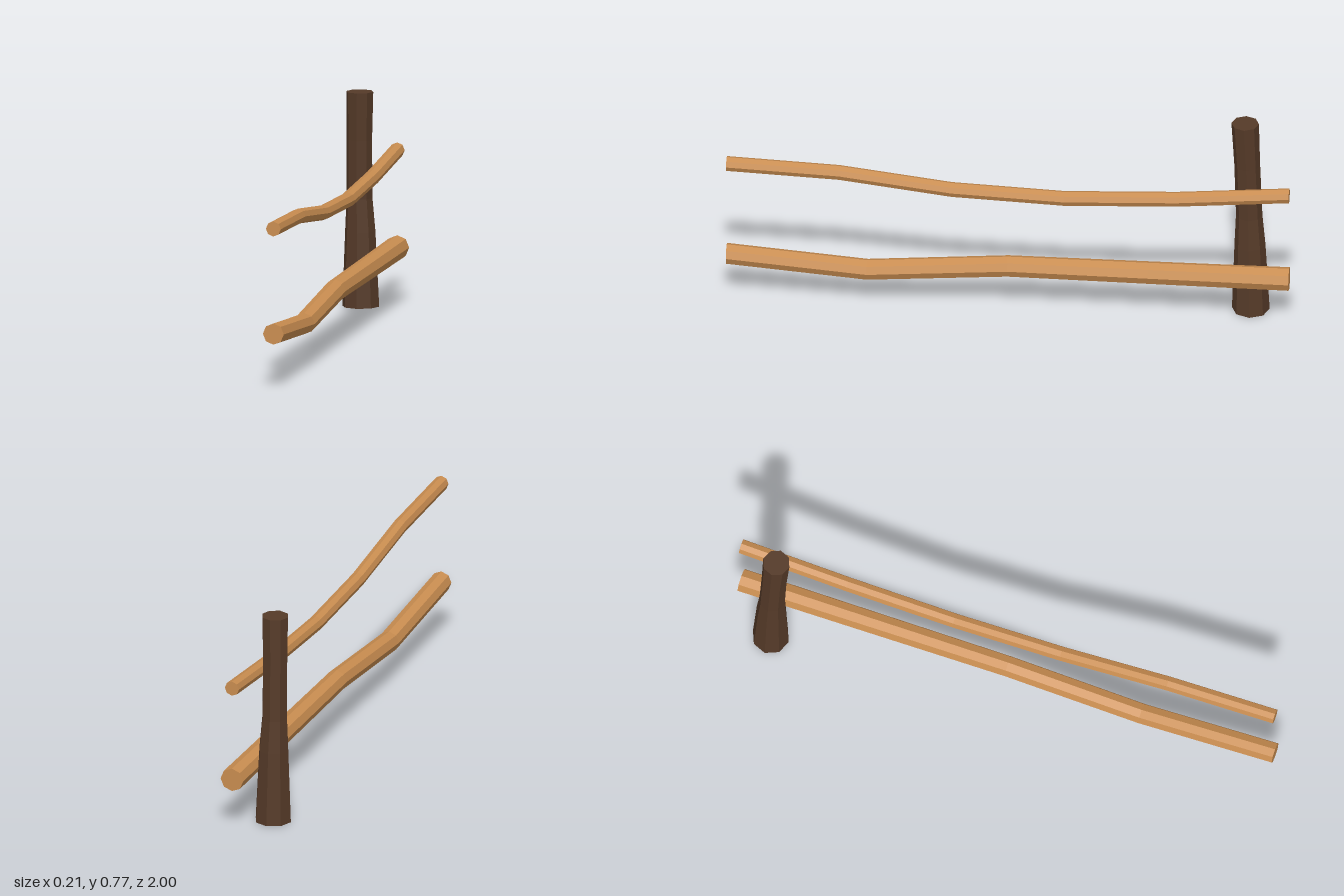
import * as THREE from 'three';

const SIDES = 8;

// Closed octagonal log running along +z; sections are [z, centreX, centreY, radius]
function logGeometry(sections) {
  const pos = [], idx = [];
  for (const [z, x, y, r] of sections) {
    for (let j = 0; j < SIDES; j++) {
      const a = (j / SIDES) * Math.PI * 2;
      pos.push(x + r * Math.cos(a), y + r * Math.sin(a), z);
    }
  }
  const last = (sections.length - 1) * SIDES;
  for (let i = 0; i < last; i += SIDES) {
    for (let j = 0; j < SIDES; j++) {
      const k = (j + 1) % SIDES;
      idx.push(i + j, i + k, i + SIDES + k, i + j, i + SIDES + k, i + SIDES + j);
    }
  }
  // end caps
  for (let j = 1; j < SIDES - 1; j++) {
    idx.push(0, j + 1, j, last, last + j, last + j + 1);
  }
  const g = new THREE.BufferGeometry();
  g.setAttribute('position', new THREE.Float32BufferAttribute(pos, 3));
  g.setIndex(idx);
  const flat = g.toNonIndexed();
  flat.computeVertexNormals();
  return flat;
}

function part(name, geometry, color) {
  const material = new THREE.MeshStandardMaterial({ color, flatShading: true });
  const mesh = new THREE.Mesh(geometry, material);
  mesh.name = name;
  return mesh;
}

export function createModel() {
  const group = new THREE.Group();
  group.name = 'fenceSection';
  const railColor = 0xc98d50, postColor = 0x553a28;

  // Rails sag and bend along their length
  group.add(part('upperRail', logGeometry([
    [-1, 0.06, 0.541, 0.027],
    [-0.6, 0.06, 0.505, 0.027],
    [-0.2, 0.06, 0.487, 0.027],
    [0.2, 0.06, 0.503, 0.027],
    [0.6, 0.06, 0.553, 0.027],
    [1, 0.06, 0.569, 0.027],
  ]), railColor));

  group.add(part('lowerRail', logGeometry([
    [-1, 0.06, 0.192, 0.043],
    [-0.5, 0.06, 0.192, 0.041],
    [0, 0.06, 0.193, 0.039],
    [0.5, 0.06, 0.152, 0.038],
    [1, 0.06, 0.192, 0.038],
  ]), railColor));

  // Post: built lying along z, then stood upright (its y becomes -z)
  const post = logGeometry([
    [0, -0.04, 0.855, 0.067],
    [0.27, -0.041, 0.852, 0.055],
    [0.39, -0.043, 0.849, 0.047],
    [0.6, -0.042, 0.842, 0.046],
    [0.773, -0.039, 0.835, 0.049],
  ]);
  post.rotateX(-Math.PI / 2);
  group.add(part('post', post, postColor));

  return group;
}
